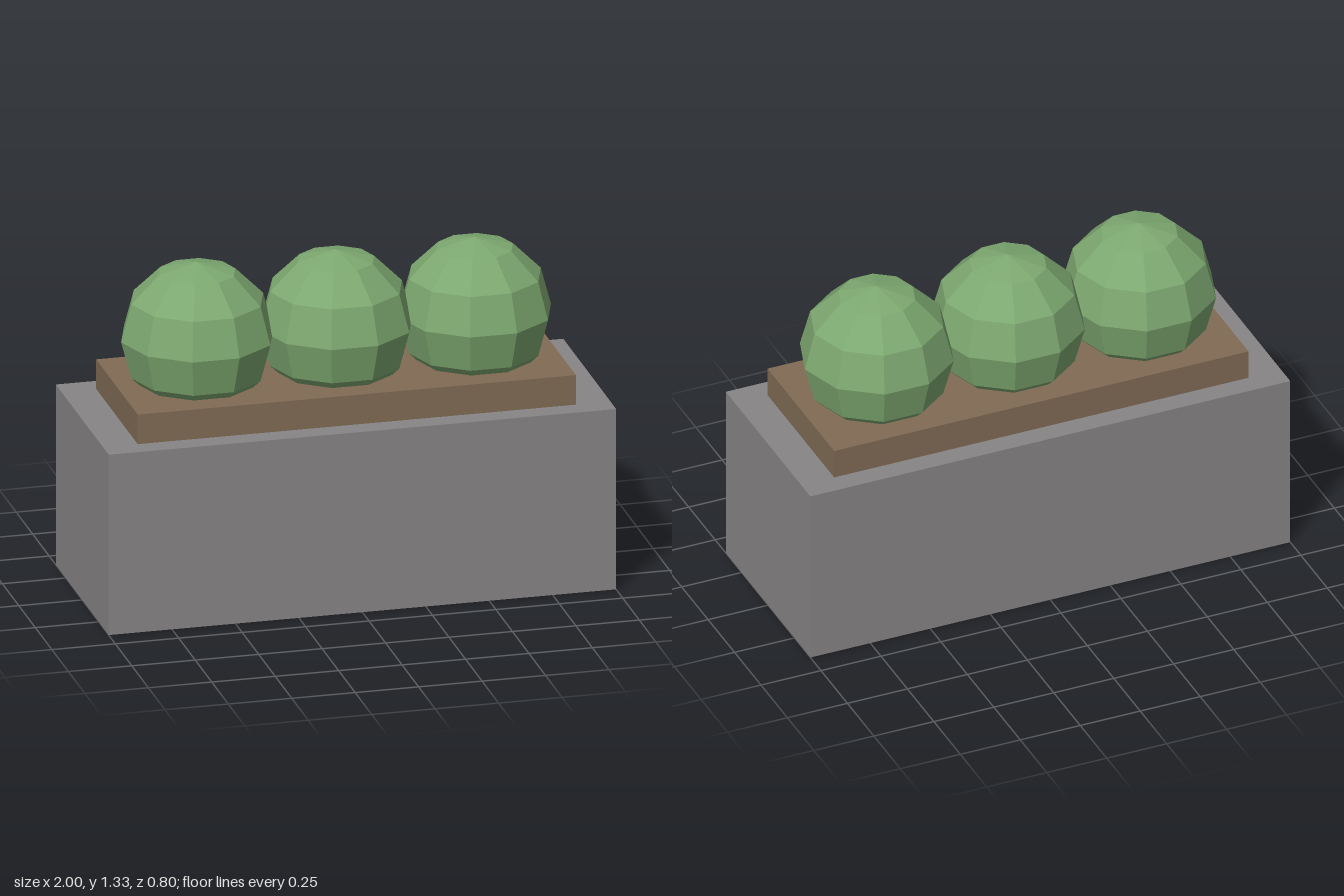
import * as THREE from 'three';

const paint = (name, color) => {
  const m = new THREE.MeshStandardMaterial({ color });
  m.name = name;
  return m;
};

export function createModel() {
  const stone = paint('grey stone', 0x888586);
  const earth = paint('brown soil', 0x806b54);
  const leaf = paint('leaf green', 0x7da870);

  const group = new THREE.Group();
  group.name = 'planter';
  const add = (name, geometry, material, x, y) => {
    const mesh = new THREE.Mesh(geometry, material);
    mesh.name = name;
    mesh.position.set(x, y, 0);
    group.add(mesh);
  };

  // Stone box with a raised bed of soil
  add('planterBox', new THREE.BoxGeometry(2, 0.733, 0.8), stone, 0, 0.3665);
  add('soil', new THREE.BoxGeometry(1.727, 0.12, 0.63), earth, 0, 0.793);

  // Faceted round bushes, sunk a little into the soil
  const bush = new THREE.SphereGeometry(0.3, 10, 6).toNonIndexed();
  bush.computeVertexNormals();
  ['rightBush', 'middleBush', 'leftBush'].forEach((name, i) =>
    add(name, bush, leaf, (i - 1) * 0.547, 1.033));

  return group;
}
